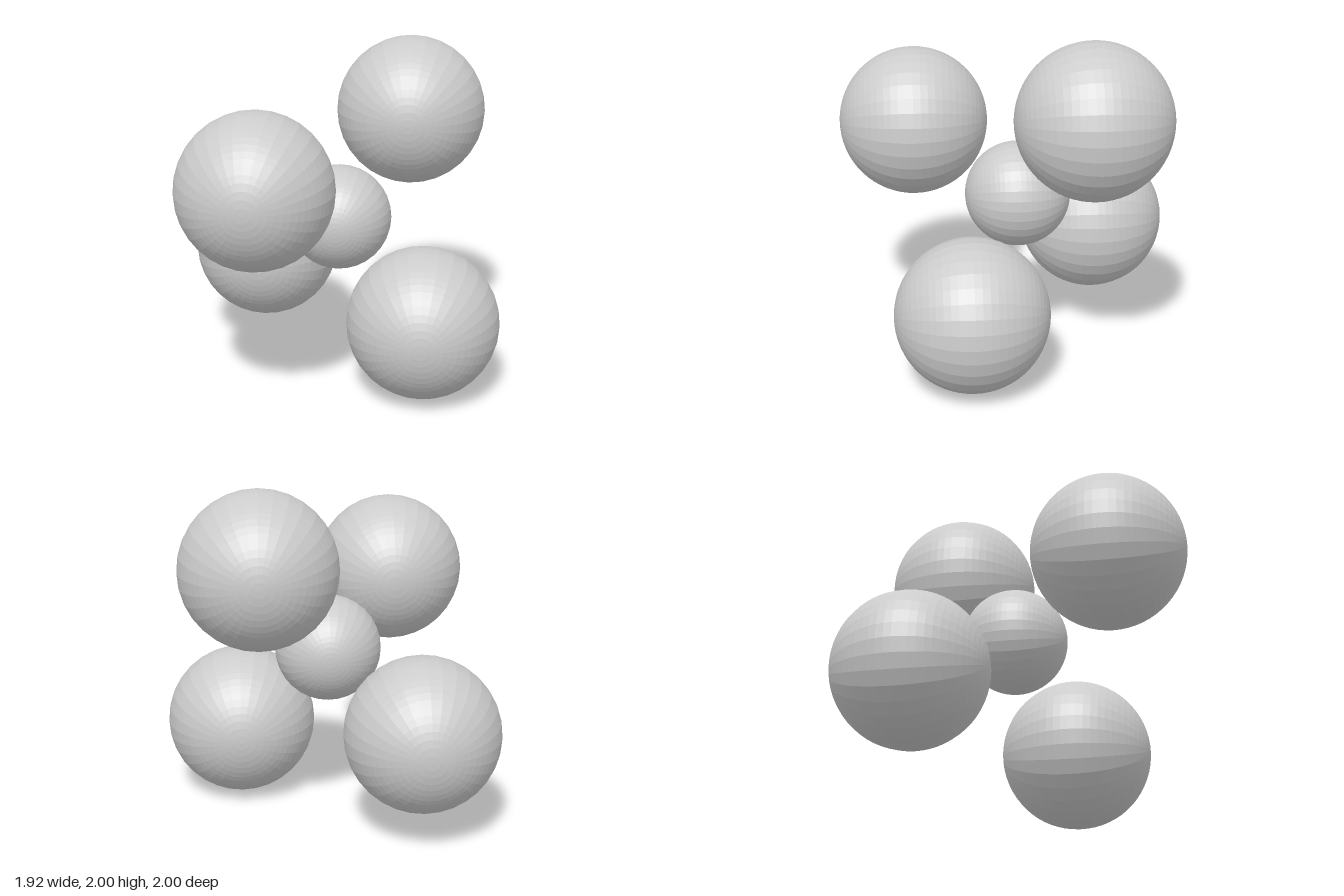
import * as THREE from 'three';

const material = new THREE.MeshStandardMaterial({ color: 0xcccccc, flatShading: true });

// Faceted ball with its poles along z
function ball(name, radius, position) {
  const geometry = new THREE.SphereGeometry(radius, 32, 32).rotateX(Math.PI / 2);
  const mesh = new THREE.Mesh(geometry, material);
  mesh.name = name;
  mesh.position.set(...position);
  return mesh;
}

export function createModel() {
  const model = new THREE.Group();
  model.name = 'tetrahedralMolecule';

  // Small central atom
  model.add(ball('centreAtom', 0.311, [-0.007, 0.985, -0.051]));

  // Four larger atoms at the corners of a tetrahedron
  const outerAtoms = {
    frontRightAtom: [-0.418, 1.32, 0.553],
    backLeftAtom: [0.395, 1.554, -0.446],
    backRightAtom: [-0.514, 0.62, -0.553],
    frontLeftAtom: [0.51, 0.447, 0.245],
  };
  for (const [name, position] of Object.entries(outerAtoms)) {
    model.add(ball(name, 0.447, position));
  }
  return model;
}
